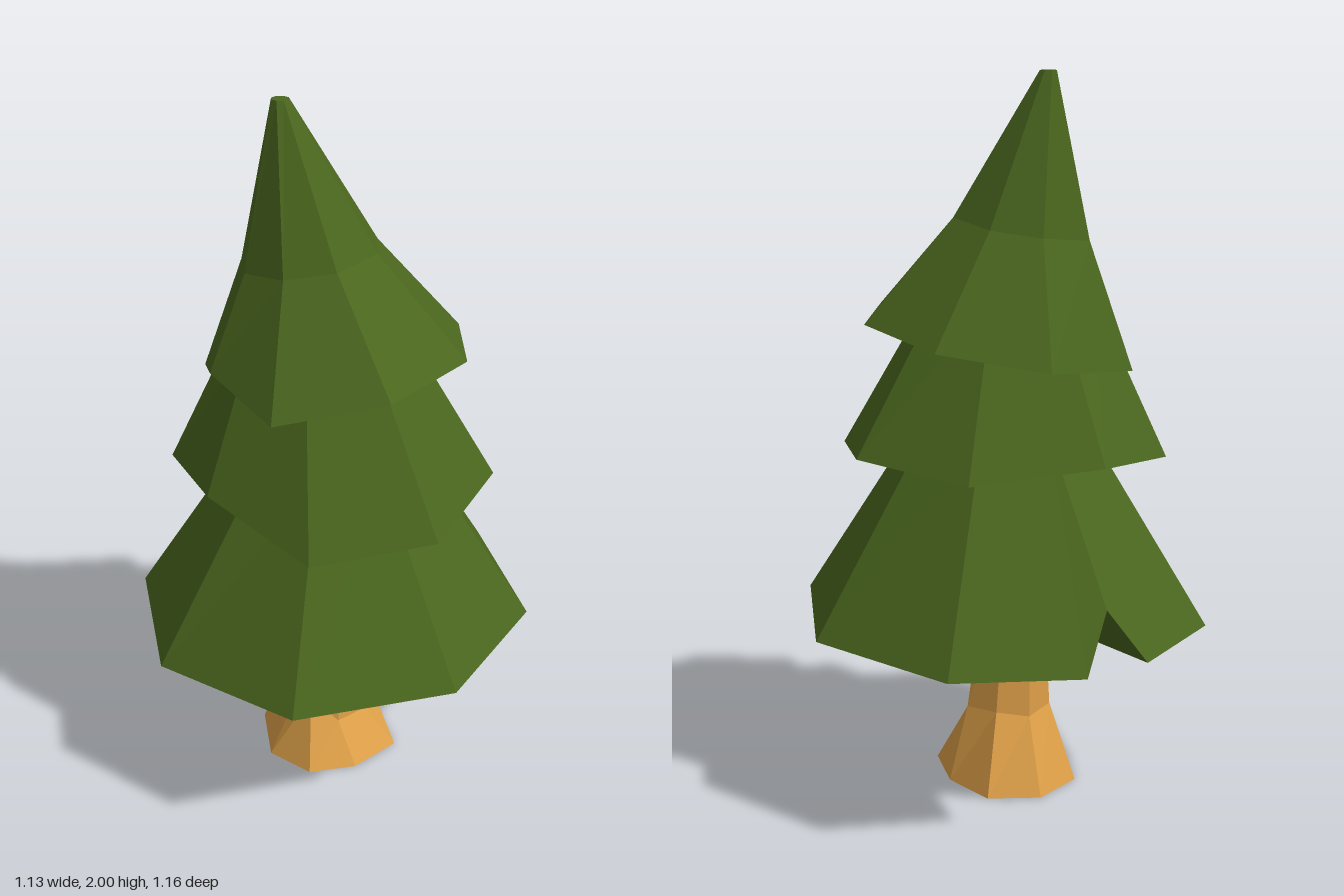
import * as THREE from 'three';

// Faceted skin over rings of [x, y, z] points (bottom to top, each running from +x towards +z)
function loft(rings, capTop) {
  const pos = [];
  const same = (p, q) => p.every((v, i) => v === q[i]);
  const tri = (a, b, c) => {
    if (!same(a, b) && !same(b, c) && !same(a, c)) pos.push(...a, ...b, ...c);
  };
  const middle = (ring) =>
    [0, 1, 2].map((i) => ring.reduce((s, p) => s + p[i], 0) / ring.length);
  const n = rings[0].length;
  const last = rings[rings.length - 1];
  const low = middle(rings[0]);
  const high = middle(last);
  for (let i = 0; i < n; i++) {
    const j = (i + 1) % n;
    for (let k = 0; k + 1 < rings.length; k++) {
      const [r, s] = [rings[k], rings[k + 1]];
      tri(r[i], s[i], r[j]);
      tri(r[j], s[i], s[j]);
    }
    tri(low, rings[0][i], rings[0][j]);
    if (capTop) tri(high, last[j], last[i]);
  }
  const geo = new THREE.BufferGeometry();
  geo.setAttribute('position', new THREE.Float32BufferAttribute(pos, 3));
  geo.computeVertexNormals();
  return geo;
}

// Regular ring at the given angles in degrees
const OCT = [0, 45, 90, 135, 180, 225, 270, 315];
function ring(x, y, z, r, angles = OCT) {
  return angles.map((d) => {
    const a = THREE.MathUtils.degToRad(d);
    return [x + r * Math.cos(a), y, z + r * Math.sin(a)];
  });
}

export function createModel() {
  const tree = new THREE.Group();
  tree.name = 'tree';
  const bark = new THREE.MeshStandardMaterial({ color: 0xdd9f48, flatShading: true });
  const leaf = new THREE.MeshStandardMaterial({ color: 0x4a661e, flatShading: true });
  const add = (name, material, rings, capTop = true) => {
    const mesh = new THREE.Mesh(loft(rings, capTop), material);
    mesh.name = name;
    tree.add(mesh);
  };

  // Trunk: flared roots, uneven knuckle ring, slim column
  add('trunk', bark, [
    [[0.18, 0, 0.05], [0.12, 0, 0.18], [-0.02, 0, 0.23], [-0.18, 0, 0.15],
      [-0.225, 0, 0], [-0.15, 0, -0.13], [0.01, 0, -0.16], [0.17, 0, -0.11]],
    [[0.09, 0.12, 0.05], [0.045, 0.22, 0.12], [-0.02, 0.16, 0.145], [-0.105, 0.22, 0.11],
      [-0.12, 0.2, 0.03], [-0.085, 0.22, -0.06], [0, 0.22, -0.105], [0.08, 0.11, -0.06]],
    ring(-0.02, 0.6, 0.035, 0.09),
  ]);

  // Lowest skirt: tilted rim with a notch cut into the right side
  add('lowerBranches', leaf, [
    [[0.565, 0.54, 0], [0.39, 0.53, 0.415], [-0.025, 0.515, 0.58], [-0.44, 0.5, 0.405],
      [-0.56, 0.49, 0.105], [-0.52, 0.64, 0], [-0.57, 0.49, -0.095],
      [-0.43, 0.5, -0.42], [-0.02, 0.515, -0.585], [0.4, 0.53, -0.41]],
    ring(-0.015, 1.06, 0, 0.235, [0, 45, 90, 135, 180, 180, 180, 225, 270, 315]),
  ]);

  // Middle skirt
  add('middleBranches', leaf, [
    [[0.44, 0.95, -0.02], [0.32, 0.94, 0.31], [0, 1.03, 0.415], [-0.335, 0.97, 0.335],
      [-0.48, 1.0, 0.02], [-0.36, 0.97, -0.315], [-0.04, 1.0, -0.465], [0.29, 0.98, -0.34]],
    ring(-0.025, 1.42, 0.025, 0.225),
  ]);

  // Crown: ragged rim, a kink, then a leaning blunt tip
  add('crown', leaf, [
    [[0.36, 1.36, 0.085], [0.19, 1.3, 0.33], [-0.1, 1.33, 0.33], [-0.345, 1.22, 0.205],
      [-0.395, 1.24, -0.09], [-0.23, 1.29, -0.335], [0.06, 1.34, -0.385], [0.3, 1.37, -0.21]],
    [[0.11, 1.62, 0.07], [0.03, 1.6, 0.18], [-0.105, 1.58, 0.21], [-0.24, 1.56, 0.135],
      [-0.25, 1.57, -0.02], [-0.165, 1.59, -0.13], [-0.02, 1.62, -0.155], [0.085, 1.63, -0.075]],
    ring(-0.142, 2, 0.065, 0.024, OCT.map((d) => d + 10)),
  ]);

  return tree;
}
